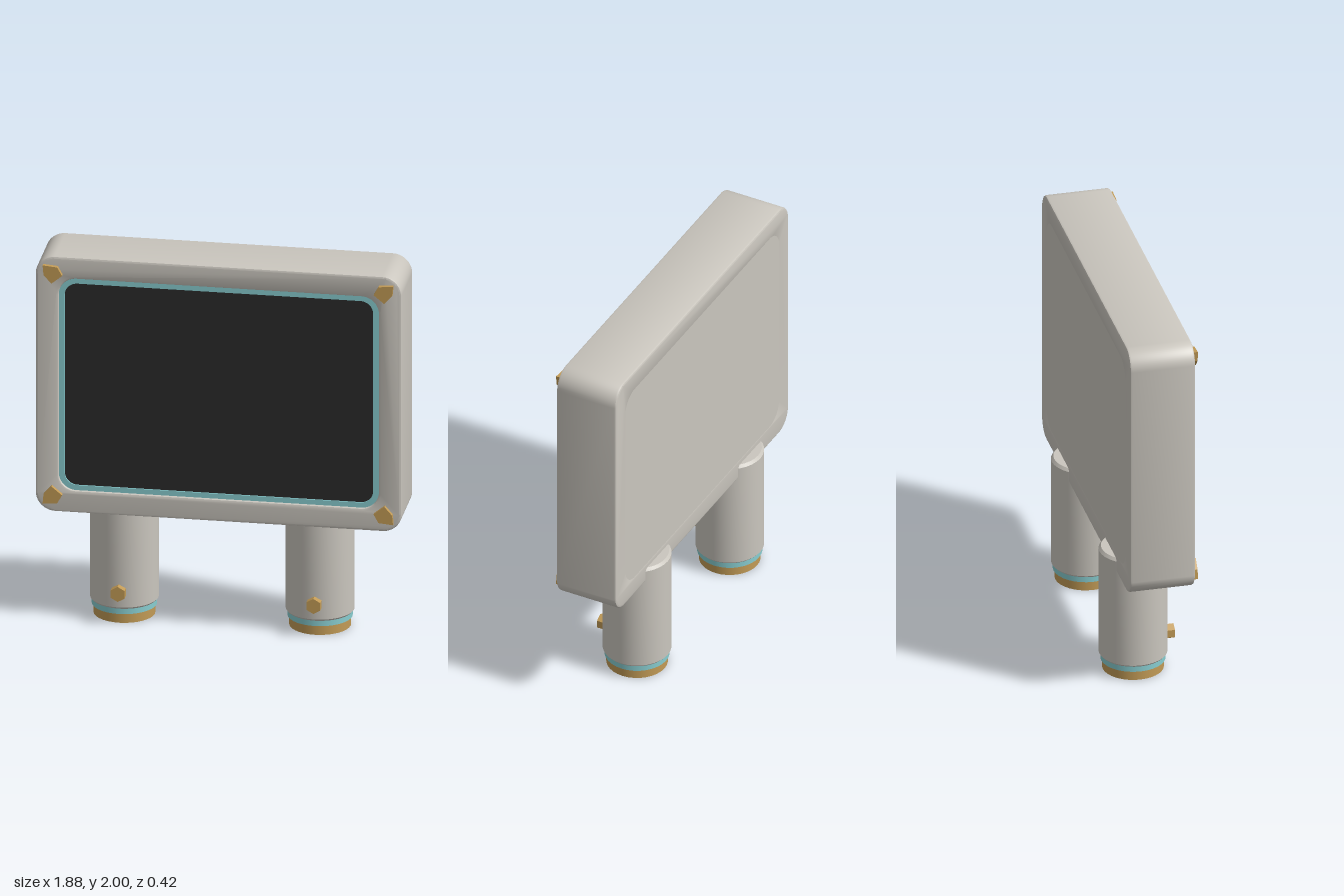
import * as THREE from 'three';
import { toCreasedNormals } from 'three/addons/utils/BufferGeometryUtils.js';

const material = (name, color) => {
  const m = new THREE.MeshStandardMaterial({ color });
  m.name = name;
  return m;
};

// Rounded rectangle outline between two corners
function roundedRect(x0, y0, x1, y1, r, Type = THREE.Shape) {
  const s = new Type();
  s.moveTo(x0 + r, y0);
  s.lineTo(x1 - r, y0);
  s.absarc(x1 - r, y0 + r, r, -Math.PI / 2, 0, false);
  s.lineTo(x1, y1 - r);
  s.absarc(x1 - r, y1 - r, r, 0, Math.PI / 2, false);
  s.lineTo(x0 + r, y1);
  s.absarc(x0 + r, y1 - r, r, Math.PI / 2, Math.PI, false);
  s.lineTo(x0, y0 + r);
  s.absarc(x0 + r, y0 + r, r, Math.PI, Math.PI * 1.5, false);
  return s;
}

// Extrude a shape from z0 to z1, with an optional bevel inside that depth
function slab(shape, z0, z1, bevel = 0) {
  const g = new THREE.ExtrudeGeometry(shape, {
    depth: z1 - z0 - 2 * bevel, bevelEnabled: bevel > 0, bevelSize: bevel,
    bevelThickness: bevel, bevelOffset: -bevel, bevelSegments: 2, curveSegments: 8,
  });
  g.translate(0, 0, z0 + bevel);
  return toCreasedNormals(g, 0.6);
}

export function createModel() {
  const model = new THREE.Group();
  model.name = 'signPanel';
  const shell = material('warm grey', 0xcac6be);
  const trim = material('pale teal', 0x88cdd0);
  const brass = material('brass', 0xc29b56);
  const glass = material('black glass', 0x2a2a2a);

  const add = (name, geometry, mat, parent = model) => {
    const mesh = new THREE.Mesh(geometry, mat);
    mesh.name = name;
    parent.add(mesh);
    return mesh;
  };

  // Casing with a screen opening, closed at the back
  const bevel = 0.012;
  const casing = roundedRect(-0.94, 0.61, 0.94, 2, 0.1);
  casing.holes.push(roundedRect(-0.822, 0.73, 0.822, 1.882, 0.09, THREE.Path));
  add('casing', slab(casing, -0.15, 0.19, bevel), shell);
  add('backPanel', slab(roundedRect(-0.834, 0.718, 0.834, 1.894, 0.102), -0.15, -0.14), shell);

  // Screen and its surround
  const surround = roundedRect(-0.825, 0.727, 0.825, 1.885, 0.09);
  surround.holes.push(roundedRect(-0.792, 0.757, 0.792, 1.855, 0.065, THREE.Path));
  add('screenSurround', slab(surround, 0.155, 0.177), trim);
  add('screen', slab(roundedRect(-0.8, 0.75, 0.8, 1.862, 0.07), 0.15, 0.17), glass);

  // Faceted corner studs, mirrored to all four corners
  const stud = [[0.05, 0.047], [0.045, -0.005], [0.005, -0.05], [-0.05, -0.005], [-0.025, 0.04]];
  for (const sx of [-1, 1]) {
    for (const [sy, y] of [[1, 1.91], [-1, 0.705]]) {
      const points = stud.map(([x, v]) => new THREE.Vector2(sx * (0.85 + x), y + sy * v));
      add('cornerStud', slab(new THREE.Shape(points), 0.175, 0.212), brass);
    }
  }

  // Legs with trim ring, foot and front bolt
  for (const x of [-0.52, 0.485]) {
    const leg = new THREE.Group();
    leg.name = 'leg';
    leg.position.set(x, 0, -0.033);
    model.add(leg);

    const profile = [[0, 0.08], [0.166, 0.08], [0.175, 0.09], [0.175, 0.675], [0.163, 0.69], [0, 0.69]];
    const post = new THREE.LatheGeometry(profile.map(([r, y]) => new THREE.Vector2(r, y)), 32);
    add('post', toCreasedNormals(post, 0.6), shell, leg);

    const ring = new THREE.CylinderGeometry(0.166, 0.166, 0.03, 32);
    add('trimRing', ring, trim, leg).position.y = 0.066;

    const foot = new THREE.CylinderGeometry(0.157, 0.157, 0.052, 32);
    add('foot', foot, brass, leg).position.y = 0.026;

    const bolt = new THREE.CylinderGeometry(0.041, 0.041, 0.06, 6);
    bolt.rotateX(Math.PI / 2);
    bolt.translate(0, 0.175, 0.181);
    add('bolt', toCreasedNormals(bolt, 0.5), brass, leg);
  }
  return model;
}
